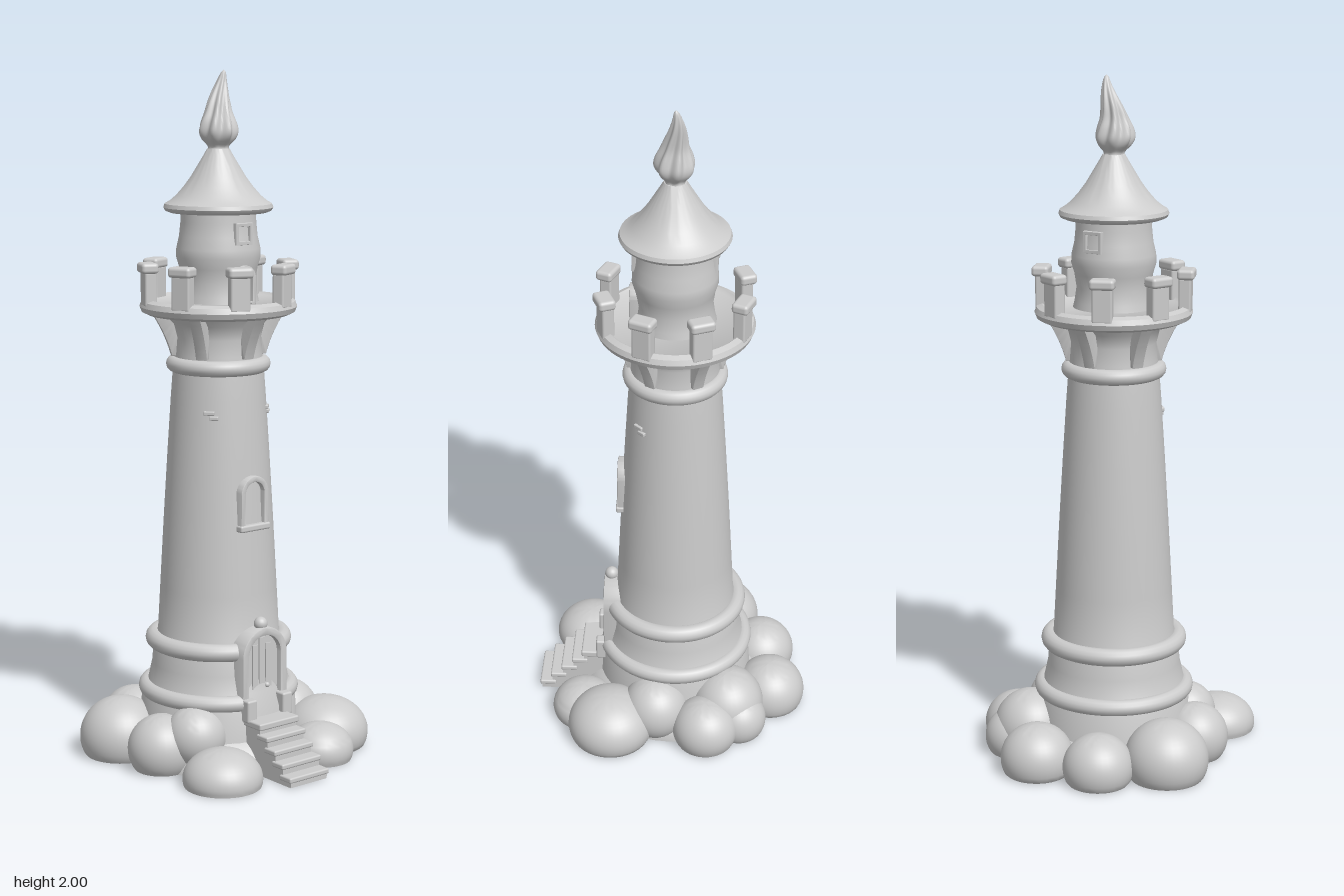
import * as THREE from 'three';
import { toCreasedNormals } from 'three/addons/utils/BufferGeometryUtils.js';
import { RoundedBoxGeometry } from 'three/addons/geometries/RoundedBoxGeometry.js';

const mat = new THREE.MeshStandardMaterial({ color: 0xcccccc, roughness: 0.8 });

function add(parent, name, geo, x = 0, y = 0, z = 0) {
  const m = new THREE.Mesh(geo, mat);
  m.name = name;
  m.position.set(x, y, z);
  parent.add(m);
  return m;
}

function lathe(points, segments = 64) {
  const pts = points.map(([r, y]) => new THREE.Vector2(r, y));
  return toCreasedNormals(new THREE.LatheGeometry(pts, segments), 0.7);
}

// Horizontal ring, optionally open by an angle either side of the front
function ring(R, tube, gap = 0) {
  const g = new THREE.TorusGeometry(R, tube, 14, 72, Math.PI * 2 - 2 * gap);
  return g.rotateZ(Math.PI / 2 + gap).rotateX(Math.PI / 2);
}

// Round-topped outline standing on y = 0
function arch(Outline, hw, h, y0 = 0) {
  const s = new Outline();
  s.moveTo(-hw, y0);
  s.lineTo(hw, y0);
  s.lineTo(hw, h - hw);
  s.absarc(0, h - hw, hw, 0, Math.PI, false);
  s.lineTo(-hw, y0);
  return s;
}

function extrude(shape, depth, bevel = 0.005) {
  return toCreasedNormals(new THREE.ExtrudeGeometry(shape, {
    depth: depth - bevel, curveSegments: 16, bevelEnabled: bevel > 0,
    bevelSize: bevel, bevelThickness: bevel, bevelOffset: -bevel, bevelSegments: 2,
  }), 0.7);
}

// Arched surround whose front lies at z, plus a recessed panel
function archOpening(parent, name, hw, h, rim, y, z, depth, recess) {
  const g = new THREE.Group();
  g.name = name;
  g.position.set(0, y, 0);
  parent.add(g);
  const frame = arch(THREE.Shape, hw, h);
  frame.holes.push(arch(THREE.Path, hw - rim, h - rim, rim * 0.6));
  add(g, name + 'Frame', extrude(frame, depth, rim * 0.2), 0, 0, z - depth);
  add(g, name + 'Panel', extrude(arch(THREE.Shape, hw - rim * 0.5, h - rim * 0.5), depth - recess, 0), 0, 0, z - depth);
  return g;
}

// Boulder: a sphere cut flat at the ground
function boulder(r, cy, sy) {
  const g = new THREE.SphereGeometry(r, 36, 24);
  const p = g.attributes.position;
  for (let i = 0; i < p.count; i++) p.setY(i, Math.max(0, p.getY(i) * sy + cy));
  g.computeVertexNormals();
  return toCreasedNormals(g, 0.7);
}

// Twisting, lobed flame bent towards its tip
function flame() {
  const profile = [[0, 1.765], [0.028, 1.77], [0.03, 1.785], [0.046, 1.805], [0.052, 1.825], [0.047, 1.85],
    [0.036, 1.88], [0.029, 1.91], [0.022, 1.94], [0.014, 1.97], [0.007, 1.992], [0, 2]];
  const curve = new THREE.SplineCurve(profile.map(([r, y]) => new THREE.Vector2(r, y)));
  const g = new THREE.LatheGeometry(curve.getPoints(44), 70);
  const p = g.attributes.position;
  for (let i = 0; i < p.count; i++) {
    const t = (p.getY(i) - 1.765) / 0.235;
    const a = Math.atan2(p.getZ(i), p.getX(i));
    const k = 1 + 0.17 * Math.sin(Math.PI * Math.min(1, Math.max(0, t))) * Math.cos(7 * a + 5 * t);
    p.setX(i, p.getX(i) * k - 0.012 * Math.sin(t * 5) * t + 0.011 * t * t);
    p.setZ(i, p.getZ(i) * k + 0.008 * Math.sin(t * 6) * t);
  }
  g.computeVertexNormals();
  return g;
}

export function createModel() {
  const model = new THREE.Group();
  model.name = 'lighthouse';
  const tower = new THREE.Group();
  tower.name = 'tower';
  tower.position.set(-0.005, 0, -0.01);
  model.add(tower);

  // Rocks: x, z, radius, centre height, vertical stretch
  const rocks = [
    [-0.265, -0.145, 0.123, 0.055, 0.95], [-0.115, -0.28, 0.103, 0.045, 0.95], [0.075, -0.31, 0.107, 0.045, 0.95],
    [0.22, -0.215, 0.085, 0.05, 1], [0.18, -0.18, 0.11, 0.08, 1], [0.27, -0.115, 0.1, 0.05, 0.95],
    [0.255, 0.175, 0.13, 0.045, 0.8], [0.16, 0.263, 0.098, 0.03, 0.8], [-0.21, 0.265, 0.115, 0.02, 0.75],
    [-0.255, 0.04, 0.1, 0.06, 1], [0.215, 0.04, 0.1, 0.08, 1], [-0.185, 0.11, 0.09, 0.1, 1],
  ];
  for (const [x, z, r, cy, sy] of rocks) add(model, 'rock', boulder(r, cy, sy), x, 0, z);
  add(model, 'rockMound', boulder(0.29, 0, 0.5), 0, 0, -0.01);

  // Tapering shaft, flared foot and corbelled head
  add(tower, 'shaft', lathe([[0, 0], [0.24, 0], [0.228, 0.17], [0.208, 0.22], [0.197, 0.27], [0.192, 0.33], [0.179, 0.37],
    [0.172, 0.5], [0.161, 0.7], [0.149, 0.9], [0.138, 1.07], [0.132, 1.15], [0.128, 1.19], [0.124, 1.24],
    [0.134, 1.28], [0.16, 1.305], [0.17, 1.33], [0, 1.33]]));
  add(tower, 'footRing', ring(0.213, 0.024, 0.36), 0, 0.195, 0);
  add(tower, 'lowerRing', ring(0.19, 0.026, 0.4), 0, 0.342, 0);
  add(tower, 'upperRing', ring(0.129, 0.023), 0, 1.16, 0);

  // Gallery brackets
  const b = new THREE.Shape();
  b.moveTo(0.1, 1.185);
  b.lineTo(0.138, 1.185);
  b.quadraticCurveTo(0.155, 1.25, 0.198, 1.315);
  b.lineTo(0.1, 1.315);
  const bracketGeo = extrude(b, 0.032, 0.004).translate(0, 0, -0.016);
  for (let i = 0; i < 6; i++) add(tower, 'galleryBracket', bracketGeo).rotation.y = Math.PI / 2 + i * Math.PI / 3;

  // Gallery floor and rim
  add(tower, 'gallery', lathe([[0, 1.305], [0.205, 1.305], [0.222, 1.313], [0.228, 1.328], [0.222, 1.343],
    [0.205, 1.35], [0.195, 1.342], [0, 1.342]]));

  // Battlement posts with caps
  for (let i = 0; i < 8; i++) {
    const post = new THREE.Group();
    post.name = 'battlement';
    post.rotation.y = (i + 0.5) * Math.PI / 4;
    tower.add(post);
    add(post, 'battlementPost', new RoundedBoxGeometry(0.058, 0.1, 0.036, 2, 0.006), 0, 1.382, 0.207);
    add(post, 'battlementCap', new RoundedBoxGeometry(0.072, 0.03, 0.05, 3, 0.01), 0, 1.442, 0.21);
  }

  // Lantern room
  add(tower, 'lanternRoom', lathe([[0.12, 1.33], [0.113, 1.36], [0.107, 1.4], [0.113, 1.44], [0.122, 1.47],
    [0.121, 1.495], [0.113, 1.53], [0.109, 1.57], [0.108, 1.61]]));
  archOpening(tower, 'galleryDoor', 0.036, 0.11, 0.012, 1.342, 0.128, 0.06, 0.014);
  for (const a of [0, Math.PI]) {
    const s = new THREE.Shape([[-0.03, 0], [0.03, 0], [0.03, 0.062], [-0.03, 0.062]].map(([x, y]) => new THREE.Vector2(x, y)));
    s.holes.push(new THREE.Path([[-0.02, 0.01], [-0.02, 0.052], [0.02, 0.052], [0.02, 0.01]].map(([x, y]) => new THREE.Vector2(x, y))));
    const w = add(tower, 'lanternWindow', extrude(s, 0.03, 0.002).translate(0, 1.51, 0.09));
    w.rotation.y = a;
  }

  // Roof and flame
  add(tower, 'roof', lathe([[0, 1.6], [0.14, 1.597], [0.153, 1.602], [0.158, 1.611], [0.154, 1.622], [0.14, 1.63],
    [0.122, 1.645], [0.1, 1.67], [0.08, 1.697], [0.06, 1.73], [0.042, 1.76], [0.032, 1.778], [0, 1.785]]));
  add(tower, 'flame', flame());

  // Front door with knob, finial and plinths
  const door = archOpening(tower, 'door', 0.083, 0.262, 0.024, 0.15, 0.217, 0.14, 0.018);
  add(door, 'doorKnob', new THREE.SphereGeometry(0.008, 14, 10), 0.018, 0.085, 0.203);
  add(door, 'doorFinial', new THREE.SphereGeometry(0.02, 20, 14), 0, 0.27, 0.195);
  for (const x of [-0.066, 0.066]) {
    add(door, 'doorPlinth', new RoundedBoxGeometry(0.036, 0.066, 0.06, 2, 0.006), x, 0.028, 0.212);
  }
  for (const x of [-0.025, 0, 0.025]) {
    add(door, 'doorPlank', new THREE.BoxGeometry(0.021, x ? 0.2 : 0.22, 0.006), x, x ? 0.11 : 0.12, 0.2);
  }

  // Shaft window with sill
  archOpening(tower, 'window', 0.051, 0.155, 0.017, 0.695, 0.17, 0.07, 0.018);
  add(tower, 'windowSill', new RoundedBoxGeometry(0.11, 0.02, 0.05, 2, 0.006), 0, 0.7, 0.15);

  // Exposed bricks high on the shaft
  for (const side of [-1, 1]) {
    const patch = new THREE.Group();
    patch.name = 'exposedBricks';
    patch.rotation.y = side * 0.82;
    tower.add(patch);
    add(patch, 'brick', new RoundedBoxGeometry(0.032, 0.012, 0.016, 2, 0.003), -0.006, 1.034, 0.139);
    add(patch, 'brick', new RoundedBoxGeometry(0.026, 0.012, 0.016, 2, 0.003), 0.008, 1.02, 0.14);
  }

  // Stairs: solid blocks with overhanging treads
  const steps = 5;
  for (let i = 0; i < steps; i++) {
    const top = 0.028 + i * 0.031;
    const front = 0.412 - i * 0.034;
    add(model, 'stepBlock', new THREE.BoxGeometry(0.136, top, front - 0.18), -0.011, top / 2, (front + 0.172) / 2);
    add(model, 'stepTread', new RoundedBoxGeometry(0.147, 0.016, 0.05, 2, 0.005), -0.011, top - 0.006, front - 0.024);
  }
  add(model, 'landing', new RoundedBoxGeometry(0.147, 0.02, 0.09, 2, 0.005), -0.011, 0.144, 0.235);
  return model;
}
